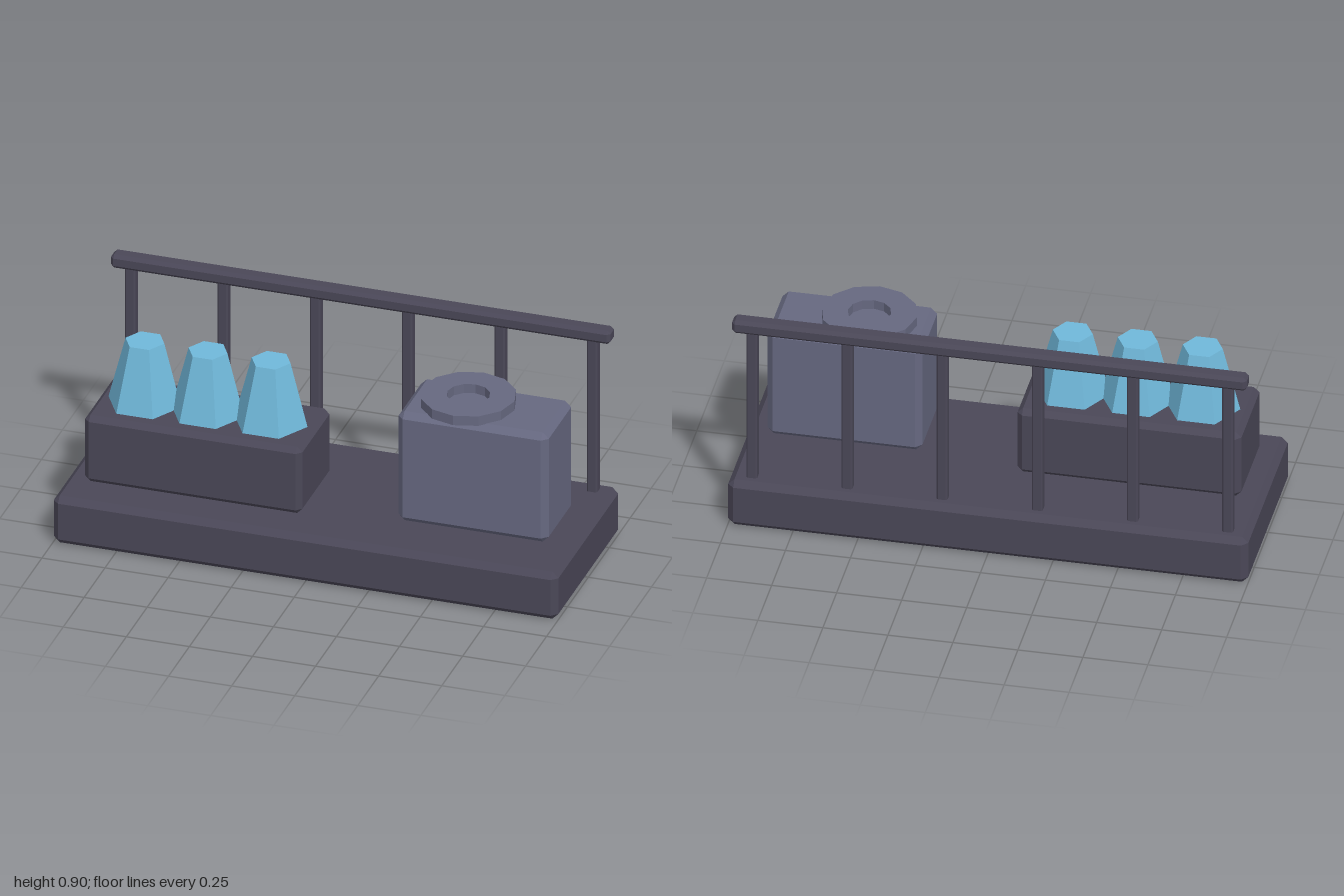
import * as THREE from 'three';
import { ConvexGeometry } from 'three/addons/geometries/ConvexGeometry.js';

const material = (name, color, flat = true) => {
  const m = new THREE.MeshStandardMaterial({ color, flatShading: flat });
  m.name = name;
  return m;
};

// Box with every edge chamfered, given by its min and max corners
function chamferedBox(min, max, bevel) {
  const points = [];
  const half = max.map((v, i) => (v - min[i]) / 2);
  for (const sx of [-1, 1]) for (const sy of [-1, 1]) for (const sz of [-1, 1]) {
    const sign = [sx, sy, sz];
    for (let axis = 0; axis < 3; axis++) {
      points.push(new THREE.Vector3(
        ...sign.map((s, i) => (min[i] + max[i]) / 2 + s * (half[i] - (i === axis ? 0 : bevel)))
      ));
    }
  }
  return new ConvexGeometry(points);
}

export function createModel() {
  const model = new THREE.Group();
  model.name = 'platform';
  const dark = material('dark metal', 0x4a4757);
  const grey = material('grey metal', 0x666880);
  const blue = material('blue crystal', 0x70b8da);

  const add = (name, geometry, mat, x = 0, y = 0, z = 0) => {
    const mesh = new THREE.Mesh(geometry, mat);
    mesh.name = name;
    mesh.position.set(x, y, z);
    model.add(mesh);
    return mesh;
  };

  // Base slab
  add('base', chamferedBox([-1, 0, -0.382], [1, 0.2, 0.382], 0.024), dark);

  // Back railing
  add('handrail', chamferedBox([-0.99, 0.84, -0.35], [0.99, 0.897, -0.284], 0.013), dark);
  const postGeometry = chamferedBox([-0.021, 0.19, -0.021], [0.021, 0.85, 0.021], 0.006);
  for (let i = 0; i < 6; i++) {
    add('railPost', postGeometry, dark, -0.915 + i * 0.366, 0, -0.317);
  }

  // Crystal tray with three tapered hexagonal crystals
  add('crystalTray', chamferedBox([-0.918, 0.21, -0.115], [-0.057, 0.492, 0.251], 0.021), dark);
  const crystalGeometry = new THREE.CylinderGeometry(0.077, 0.15, 0.282, 6);
  crystalGeometry.rotateY(Math.PI / 6);
  for (let i = 0; i < 3; i++) {
    add('crystal', crystalGeometry, blue, -0.735 + i * 0.25, 0.611, 0.067);
  }

  // Machine housing
  add('housing', chamferedBox([0.315, 0.235, -0.09], [0.91, 0.7, 0.226], 0.024), grey);

  // Ring cap with an open centre
  const profile = [[0.083, 0.698], [0.183, 0.698], [0.183, 0.738], [0.083, 0.738], [0.083, 0.698]]
    .map(([r, y]) => new THREE.Vector2(r, y));
  add('ringCap', new THREE.LatheGeometry(profile, 12), grey, 0.547, 0, 0.067);

  return model;
}
